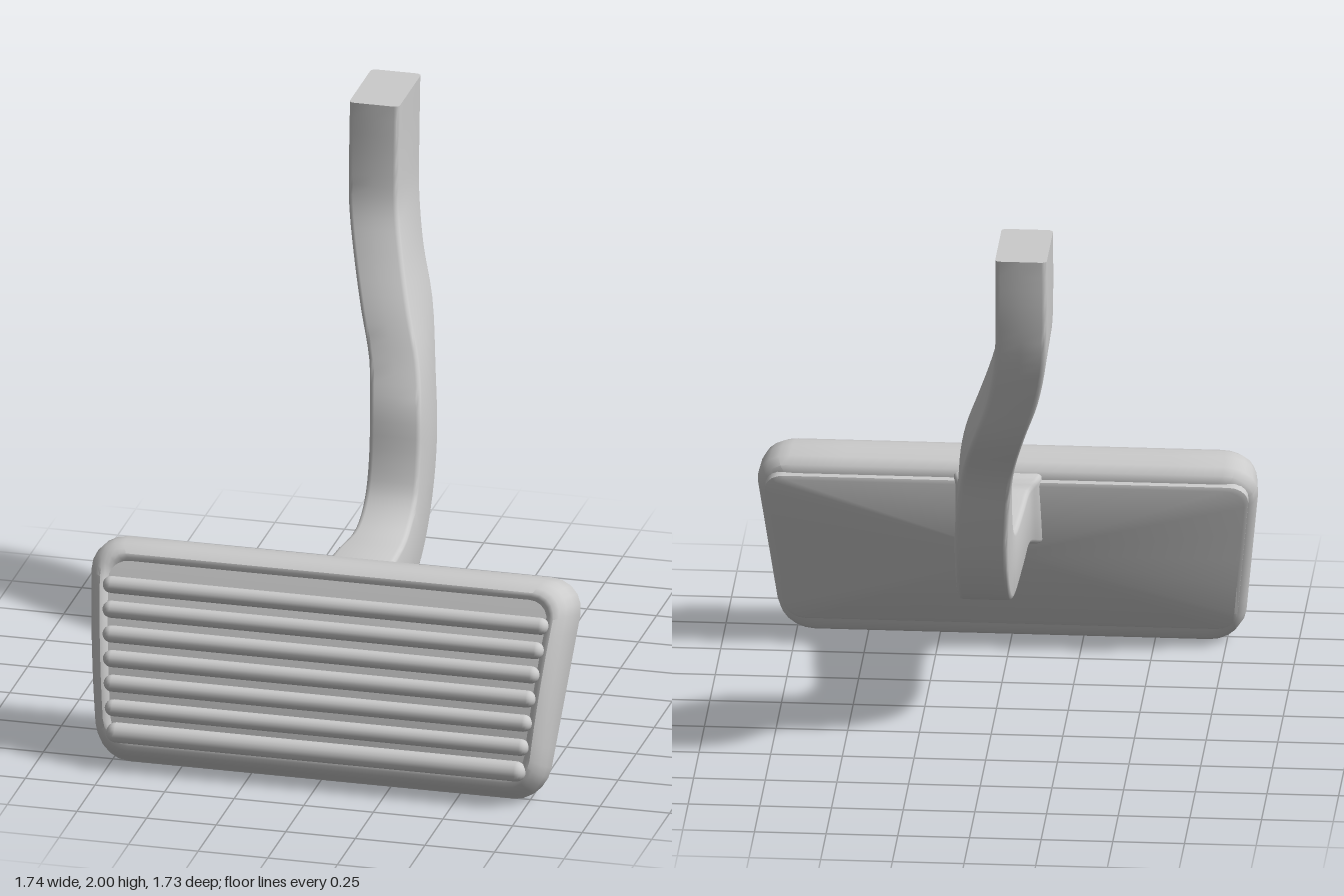
import * as THREE from 'three';
import { toCreasedNormals } from 'three/addons/utils/BufferGeometryUtils.js';

const material = new THREE.MeshStandardMaterial({ color: 0xcccccc });

// Counter-clockwise rounded rectangle, [a, b] pairs, with subdivided edges
function roundedRect(ha, hb, r, arc = 5, edge = 8) {
  const corners = [[1, -1], [1, 1], [-1, 1], [-1, -1]];
  const pts = [];
  corners.forEach(([sa, sb], k) => {
    for (let i = 0; i <= arc; i++) {
      const t = (k - 1 + i / arc) * Math.PI / 2;
      pts.push([sa * (ha - r) + r * Math.cos(t), sb * (hb - r) + r * Math.sin(t)]);
    }
    const [na, nb] = corners[(k + 1) % 4];
    const t = k * Math.PI / 2;
    const end = [na * (ha - r) + r * Math.cos(t), nb * (hb - r) + r * Math.sin(t)];
    const start = pts[pts.length - 1];
    for (let i = 1; i < edge; i++) {
      const f = i / edge;
      pts.push([start[0] + (end[0] - start[0]) * f, start[1] + (end[1] - start[1]) * f]);
    }
  });
  return pts;
}

// Skin through rings of Vector3 with both ends closed
function loft(rings, crease) {
  const n = rings[0].length;
  const pos = [];
  const index = [];
  const add = (v) => pos.push(v.x, v.y, v.z) / 3 - 1;
  rings.forEach((ring) => ring.forEach(add));
  for (let j = 0; j < rings.length - 1; j++) {
    for (let i = 0; i < n; i++) {
      const a = j * n + i, b = j * n + (i + 1) % n;
      index.push(a, b, b + n, a, b + n, a + n);
    }
  }
  [0, rings.length - 1].forEach((j) => {
    const centre = new THREE.Vector3();
    rings[j].forEach((v) => centre.addScaledVector(v, 1 / n));
    const c = add(centre);
    for (let i = 0; i < n; i++) {
      const a = j * n + i, b = j * n + (i + 1) % n;
      if (j === 0) index.push(c, b, a);
      else index.push(c, a, b);
    }
  });
  const geo = new THREE.BufferGeometry();
  geo.setAttribute('position', new THREE.Float32BufferAttribute(pos, 3));
  geo.setIndex(index);
  return toCreasedNormals(geo, crease);
}

function part(name, geometry) {
  const mesh = new THREE.Mesh(geometry, material);
  mesh.name = name;
  return mesh;
}

// Pad outline: tapers towards the bottom; the front face bulges
const MID = 0.125;
const taper = (y) => 1 + 0.12 * (y - MID);
const front = (y) => 0.877 - 0.34 * (y - 0.22) ** 2;

function padRing(inset, depth, scale = 1) {
  const r = Math.max(0.12 - inset * 0.6, 0.03);
  return roundedRect(0.845 - inset, 0.39 - inset, r).map(([a, b]) => {
    const y = MID + b * scale;
    return new THREE.Vector3(a * scale * taper(y), y, depth(y));
  });
}

function createPad() {
  const pad = new THREE.Group();
  pad.name = 'pedalPad';
  const flat = (w) => () => w;
  const below = (d) => (y) => front(y) - d;

  // Rubber body with a rounded rim and slightly sunken tread panel
  pad.add(part('padBody', loft([
    padRing(0.065, flat(0.655)),
    padRing(0.035, flat(0.658)),
    padRing(0.012, flat(0.675)),
    padRing(0, flat(0.71)),
    padRing(0.008, below(0.075)),
    padRing(0.02, below(0.035)),
    padRing(0.038, below(0.01)),
    padRing(0.055, below(0)),
    padRing(0.068, below(0.003)),
    padRing(0.08, below(0.016)),
    padRing(0.08, below(0.016), 0.75),
    padRing(0.08, below(0.016), 0.5),
    padRing(0.08, below(0.016), 0.25),
  ], 0.7)));

  // Steel plate behind the rubber
  const plateRing = (inset, w) => roundedRect(0.815 - inset, 0.328 - inset, 0.07, 5, 4)
    .map(([a, b]) => new THREE.Vector3(a * taper(b + 0.15), b + 0.152, w));
  pad.add(part('backPlate', loft([
    plateRing(0.012, 0.634), plateRing(0, 0.642), plateRing(0, 0.67),
  ], 0.6)));

  // Seven horizontal tread ribs
  for (let i = 0; i < 7; i++) {
    const y = -0.165 + i * 0.0855;
    const half = 0.765 * taper(y);
    const r = i === 0 ? 0.036 : 0.03;
    const geo = new THREE.CapsuleGeometry(r, 2 * (half - r) + 0.03, 6, 16);
    geo.rotateZ(Math.PI / 2);
    const rib = part('treadRib', geo);
    rib.position.set(0, y, front(y) - 0.005);
    rib.rotation.x = 0.68 * (y - 0.22);
    pad.add(rib);
  }
  pad.rotation.x = -0.3533;
  return pad;
}

// Arm stations: upper y, z; lower y, z; centre x; half width
const STATIONS = [
  [0.70, 0.47, 0.40, 0.57, 0.03, 0.16],
  [0.69, 0.42, 0.42, 0.50, 0.03, 0.145],
  [0.665, 0.38, 0.445, 0.43, 0.033, 0.12],
  [0.655, 0.22, 0.44, 0.22, 0.033, 0.112],
  [0.652, 0.02, 0.425, -0.02, 0.029, 0.097],
  [0.72, -0.095, 0.48, -0.19, 0.028, 0.094],
  [0.83, -0.145, 0.635, -0.335, 0.027, 0.093],
  [1.015, -0.19, 0.83, -0.43, 0.02, 0.093],
  [1.165, -0.265, 1.05, -0.515, -0.005, 0.091],
  [1.315, -0.34, 1.25, -0.67, -0.055, 0.09],
  [1.49, -0.445, 1.42, -0.755, -0.11, 0.09],
  [1.63, -0.515, 1.60, -0.825, -0.143, 0.09],
  [1.78, -0.54, 1.78, -0.857, -0.15, 0.09],
  [2.0, -0.553, 2.0, -0.87, -0.15, 0.09],
];

function createArm() {
  const curve = (f) => new THREE.CatmullRomCurve3(STATIONS.map(f), false, 'centripetal');
  const upper = curve((s) => new THREE.Vector3(s[4], s[0], s[1]));
  const lower = curve((s) => new THREE.Vector3(s[4], s[2], s[3]));
  const width = curve((s, i) => new THREE.Vector3(s[5], i * 0.1, 0));
  const steps = 52;
  const rings = [];
  for (let j = 0; j <= steps; j++) {
    const t = j / steps;
    const a = upper.getPoint(t), b = lower.getPoint(t);
    const mid = a.clone().add(b).multiplyScalar(0.5);
    const half = a.distanceTo(b) / 2;
    const dir = a.clone().sub(b).normalize();
    rings.push(roundedRect(half, width.getPoint(t).x, 0.018, 3, 2).map(([u, v]) => {
      const p = mid.clone().addScaledVector(dir, u);
      p.x += v;
      return p;
    }));
  }
  return part('pedalArm', loft(rings, 0.7));
}

export function createModel() {
  const model = new THREE.Group();
  model.name = 'footPedal';
  model.add(createPad(), createArm());
  return model;
}
